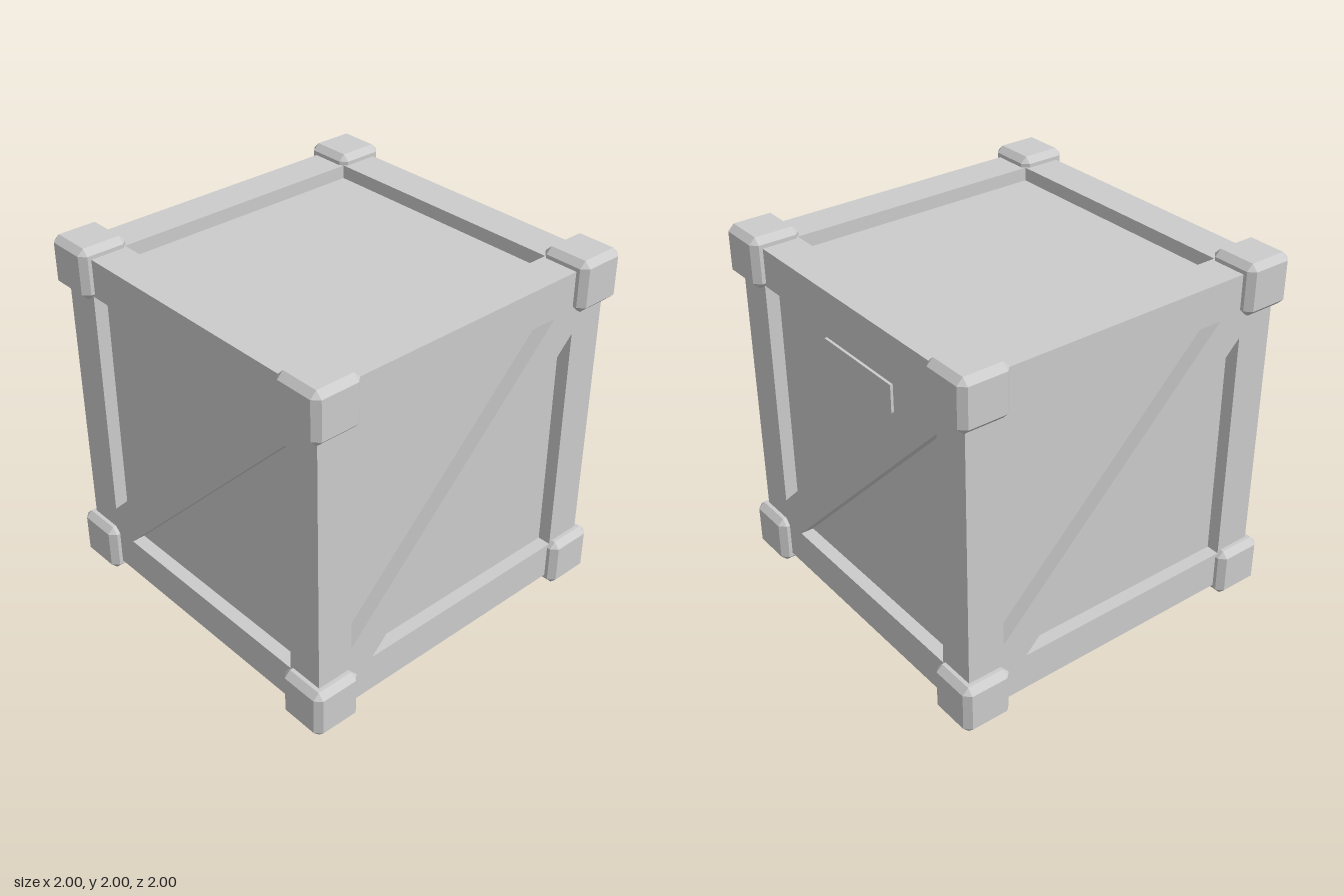
import * as THREE from 'three';
import { ConvexGeometry } from 'three/addons/geometries/ConvexGeometry.js';

const OUTER = 0.945; // half size of the frame
const PANEL = 0.87;  // half size of the recessed core
const INNER = 0.735; // half size of the frame opening

const polygon = (Type, points) => new Type(points.map(([x, y]) => new THREE.Vector2(x, y)));
const square = (Type, h) => polygon(Type, [[-h, -h], [h, -h], [h, h], [-h, h]]);

// Frame for one side, facing +z, with its outer edge mitred to meet the neighbours
function frameGeometry(holes) {
  const shape = square(THREE.Shape, OUTER);
  shape.holes.push(...holes);
  const geometry = new THREE.ExtrudeGeometry(shape, { depth: OUTER - PANEL, bevelEnabled: false });
  geometry.translate(0, 0, PANEL);
  const p = geometry.attributes.position;
  for (let i = 0; i < p.count; i++) {
    if (p.getZ(i) < PANEL + 0.01) {
      p.setX(i, THREE.MathUtils.clamp(p.getX(i), -PANEL, PANEL));
      p.setY(i, THREE.MathUtils.clamp(p.getY(i), -PANEL, PANEL));
    }
  }
  geometry.computeVertexNormals();
  return geometry;
}

// Cube with chamfered edges and cut corners
function chamferedCube(half, chamfer) {
  const b = half - chamfer;
  const points = [];
  for (const x of [-1, 1]) for (const y of [-1, 1]) for (const z of [-1, 1]) {
    points.push(
      new THREE.Vector3(x * half, y * b, z * b),
      new THREE.Vector3(x * b, y * half, z * b),
      new THREE.Vector3(x * b, y * b, z * half));
  }
  return new ConvexGeometry(points);
}

export function createModel() {
  const grey = new THREE.MeshStandardMaterial({ color: 0xcccccc });
  grey.name = 'crateGrey';

  const crate = new THREE.Group();
  crate.name = 'crate';
  crate.position.y = 1;
  const add = (name, geometry) => {
    const mesh = new THREE.Mesh(geometry, grey);
    mesh.name = name;
    crate.add(mesh);
    return mesh;
  };

  // Recessed panels
  add('panels', new THREE.BoxGeometry(PANEL * 2, PANEL * 2, PANEL * 2));

  // Four side frames, each with a diagonal brace between two triangular openings
  const braced = frameGeometry([
    polygon(THREE.Path, [[-INNER, INNER], [0.59, INNER], [-INNER, -0.59]]),
    polygon(THREE.Path, [[-0.595, -INNER], [INNER, -INNER], [INNER, 0.595]]),
  ]);
  ['frontFrame', 'leftFrame', 'backFrame', 'rightFrame'].forEach((name, i) => {
    add(name, braced).rotation.y = i * Math.PI / 2;
  });

  // Open frames above and below
  const open = frameGeometry([square(THREE.Path, INNER)]);
  add('topFrame', open).rotation.x = -Math.PI / 2;
  add('bottomFrame', open).rotation.x = Math.PI / 2;

  // Chamfered corner blocks
  const corner = chamferedCube(0.14, 0.034);
  for (const x of [-1, 1]) for (const y of [-1, 1]) for (const z of [-1, 1]) {
    add('cornerBlock', corner).position.set(x * 0.86, y * 0.86, z * 0.86);
  }

  // Label plate on the back panel, partly behind the brace
  add('labelPlate', new THREE.BoxGeometry(0.57, 0.38, 0.03)).position.set(0, 0.42, -PANEL);

  const model = new THREE.Group();
  model.name = 'model';
  model.add(crate);
  return model;
}
